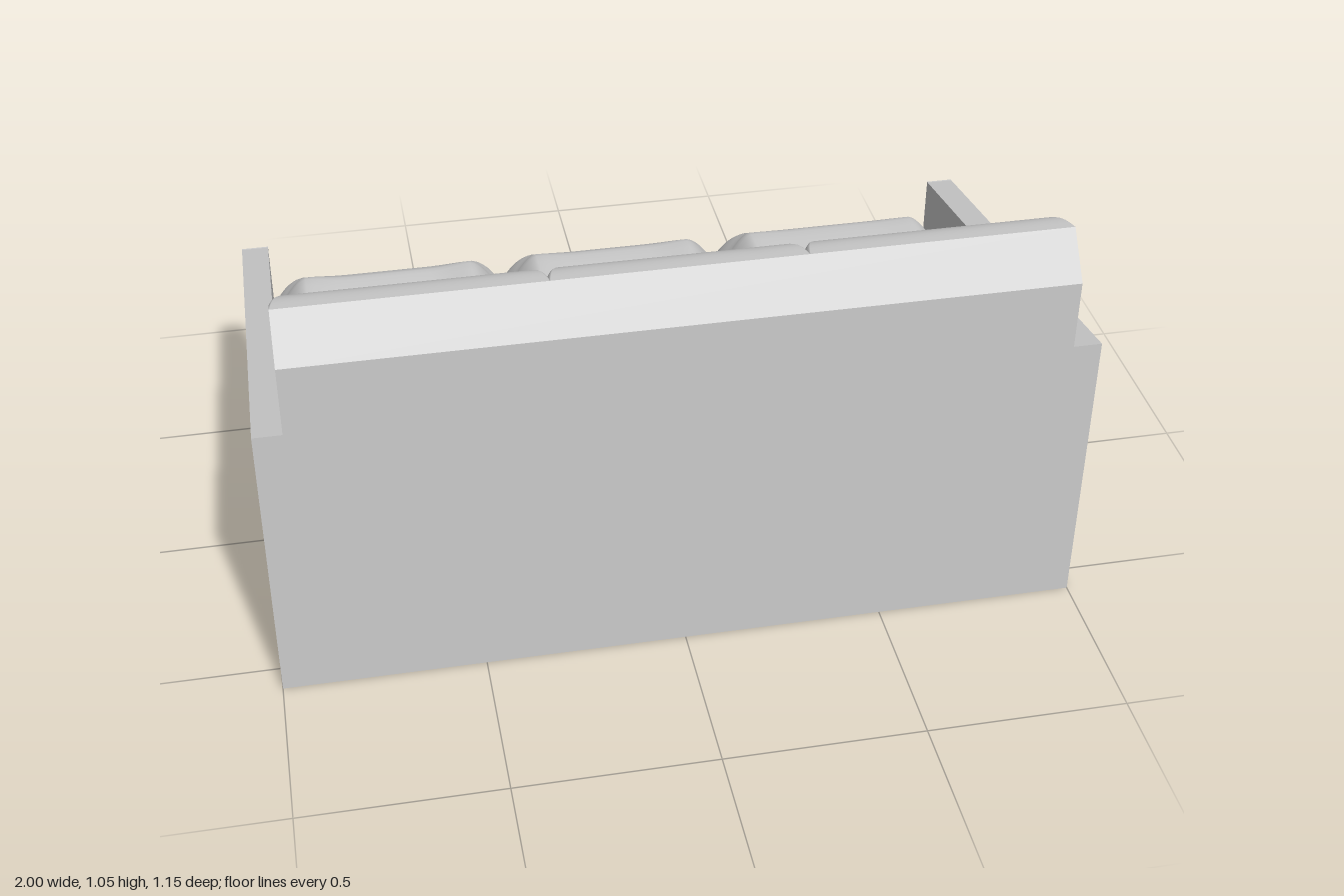
import * as THREE from 'three';

const HALF = 0.93; // half width between the arms

// Profiles as [z, y]: fullest part of a cushion, and the valley between cushions
const seatCrown = [[-0.54, 0.34], [-0.545, 0.40], [-0.52, 0.46], [-0.47, 0.505], [-0.40, 0.525], [-0.1, 0.53], [0.155, 0.54]];
const seatValley = [[-0.54, 0.34], [-0.538, 0.375], [-0.50, 0.40], [-0.44, 0.41], [-0.36, 0.412], [-0.1, 0.412], [0.22, 0.42]];
const backCrown = [[0.155, 0.54], [0.225, 0.70], [0.30, 0.89], [0.33, 0.955], [0.38, 1.01], [0.43, 1.04], [0.49, 1.05]];
const backValley = [[0.22, 0.42], [0.325, 0.66], [0.385, 0.855], [0.40, 0.925], [0.418, 0.985], [0.444, 1.03], [0.49, 1.05]];

const smoothProfile = (pts) =>
  new THREE.SplineCurve(pts.map(([z, y]) => new THREE.Vector2(z, y))).getPoints(24);

// Padded surface: steep flanks rise from the valleys to a broad crown,
// which sinks a little in the middle beside the seam
function paddedSurface(crown, valley, x0, x1, sagAt) {
  const c = smoothProfile(crown), v = smoothProfile(valley);
  const rim = [0, 0.1, 0.22, 0.36, 0.5, 0.64, 0.77, 0.89, 1];
  const inner = [0.11, 0.14, 0.17, 0.2, 0.25];
  const width = x1 - x0;
  const pos = [], idx = [], n = 2 * (rim.length + inner.length) + 1;
  c.forEach((p, i) => {
    const gap = p.distanceTo(v[i]);
    const flank = Math.max(0.002, 0.09 * Math.min(1, gap / 0.1));
    const sag = sagAt(i / (c.length - 1));
    const half = [...rim.map((t) => t * flank), ...inner];
    const xs = [...half, width / 2, ...half.map((d) => width - d).reverse()];
    for (const x of xs) {
      const d = Math.min(x, width - x);
      const t = 1 - Math.min(d / flank, 1);
      const full = 1 - t ** 1.6 - sag * THREE.MathUtils.smoothstep(d, 0.09, 0.2);
      const q = v[i].clone().lerp(p, full);
      pos.push(x0 + x, q.y, q.x);
    }
  });
  for (let i = 0; i < c.length - 1; i++) {
    for (let j = 0; j < n - 1; j++) {
      const a = i * n + j;
      idx.push(a, a + n, a + 1, a + 1, a + n, a + n + 1);
    }
  }
  const g = new THREE.BufferGeometry();
  g.setAttribute('position', new THREE.Float32BufferAttribute(pos, 3));
  g.setIndex(idx);
  g.computeVertexNormals();
  return g;
}

const armTop = (z) => 0.657 + 0.19 * z;

// Arm outline at a given x, inset by d, with its lower edge at height lo
function armLoop(x, d, lo) {
  const zf = -0.57 + d, zb = 0.572 - d;
  return [[x, lo, zf], [x, armTop(zf) - d * 1.2, zf], [x, armTop(zb) - d * 1.2, zb], [x, lo, zb]];
}

// Flat faced shell through four-cornered loops, capped at both ends
function loopShell(loops, side) {
  const pos = [];
  const tri = (a, b, c) => {
    for (const p of side > 0 ? [a, b, c] : [a, c, b]) pos.push(p[0] * side, p[1], p[2]);
  };
  const quad = (a, b, c, d) => { tri(a, b, c); tri(a, c, d); };
  for (let k = 0; k < loops.length - 1; k++) {
    for (let i = 0; i < 4; i++) {
      const j = (i + 1) % 4;
      quad(loops[k][i], loops[k][j], loops[k + 1][j], loops[k + 1][i]);
    }
  }
  quad(...loops[loops.length - 1]);
  quad(...[...loops[0]].reverse());
  const g = new THREE.BufferGeometry();
  g.setAttribute('position', new THREE.Float32BufferAttribute(pos, 3));
  g.computeVertexNormals();
  return g;
}

export function createModel() {
  const sofa = new THREE.Group();
  sofa.name = 'sofa';
  const grey = new THREE.MeshStandardMaterial({ color: 0xcccccc });
  grey.name = 'light grey';

  const add = (parent, name, geometry, x = 0, y = 0, z = 0) => {
    const m = new THREE.Mesh(geometry, grey);
    m.name = name;
    m.position.set(x, y, z);
    parent.add(m);
  };

  // Body: base, flat back and sloping rear edge of the crest
  const outline = [
    new THREE.Vector2(0.572, 0), new THREE.Vector2(0.572, 0.945),
    ...smoothProfile(backValley).reverse(),
    ...smoothProfile(seatValley).reverse().slice(1),
    new THREE.Vector2(-0.54, 0),
  ];
  const body = new THREE.ExtrudeGeometry(new THREE.Shape(outline), { depth: HALF * 2, bevelEnabled: false });
  body.rotateY(-Math.PI / 2);
  add(sofa, 'body', body, HALF);

  // Three seat and back cushions, each sagging a little differently
  const edges = [-HALF, -0.305, 0.295, HALF];
  [0.5, 0.33, 0.15].forEach((sag, i) => {
    add(sofa, 'seatCushion', paddedSurface(seatCrown, seatValley, edges[i], edges[i + 1], (t) => sag * t ** 3));
    add(sofa, 'backCushion', paddedSurface(backCrown, backValley, edges[i], edges[i + 1], (t) => sag * (1 - t) ** 3));
  });

  // Mouldings along the front panel
  for (const [y0, y1] of [[0.025, 0.05], [0.07, 0.10], [0.265, 0.29], [0.31, 0.34]]) {
    add(sofa, 'frontMoulding', new THREE.BoxGeometry(HALF * 2, y1 - y0, 0.02), 0, (y0 + y1) / 2, -0.55);
  }

  // Arms with a lipped outer face, a sloping border and a raised panel
  for (const side of [1, -1]) {
    const arm = new THREE.Group();
    arm.name = side > 0 ? 'leftArm' : 'rightArm';
    sofa.add(arm);
    add(arm, 'armPanel', loopShell([
      armLoop(HALF, 0, 0), armLoop(1, 0, 0), armLoop(1, 0.012, 0.004), armLoop(0.992, 0.02, 0.02),
      armLoop(0.984, 0.095, 0.12), armLoop(0.992, 0.095, 0.12),
    ], side));

    // Front post: thin frame around a narrow strip
    const w = 0.035, h = armTop(-0.57), t = 0.012;
    const frame = new THREE.Shape([[-w, 0], [w, 0], [w, h], [-w, h]].map((p) => new THREE.Vector2(...p)));
    frame.holes.push(new THREE.Path(
      [[-w + t, t], [-w + t, h - t], [w - t, h - t], [w - t, t]].map((p) => new THREE.Vector2(...p))));
    add(arm, 'postFrame', new THREE.ExtrudeGeometry(frame, { depth: 0.005, bevelEnabled: false }),
      side * 0.965, 0, -0.575);
    add(arm, 'postStrip', new THREE.BoxGeometry(0.03, h - 0.05, 0.004), side * 0.965, h / 2, -0.571);
  }
  return sofa;
}
